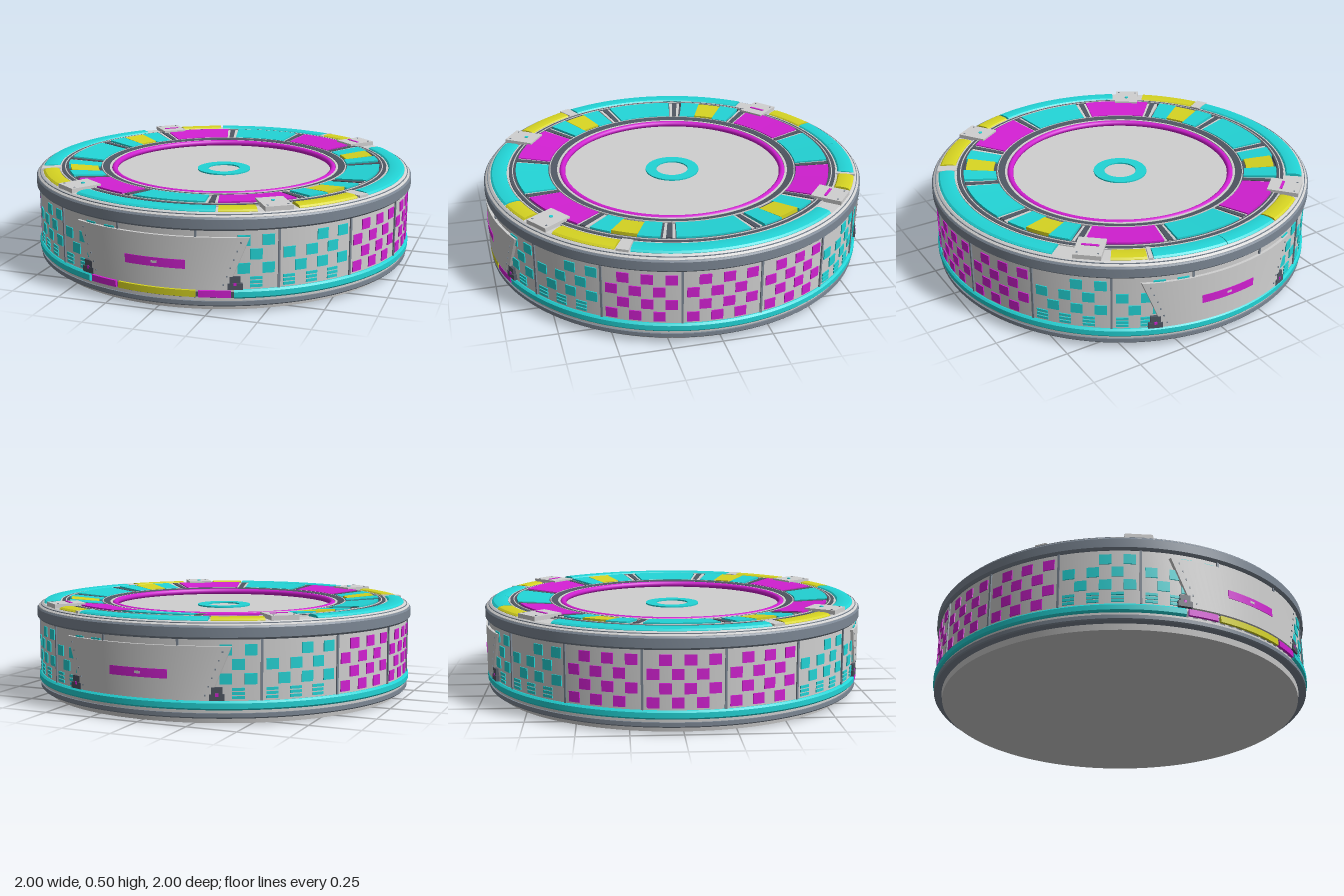
import * as THREE from 'three';
import { mergeGeometries, toCreasedNormals } from 'three/addons/utils/BufferGeometryUtils.js';

const RAD = Math.PI / 180;
const mat = (name, color) => {
  const m = new THREE.MeshStandardMaterial({ color });
  m.name = name;
  return m;
};

// Box-shaped cross-section: radius r0..r1, height y0..y1
const rect = (r0, r1, y0, y1) => [[r0, y0], [r1, y0], [r1, y1], [r0, y1]];

// Sweep a counter-clockwise (radius, height) profile round the axis from a0 to a1 degrees.
// Angle 0 is +x, 90 is +z (front).
function sector(profile, a0 = 0, a1 = 360) {
  const pts = [...profile, profile[0]].map(([r, y]) => new THREE.Vector2(r, y));
  const start = (90 - a1) * RAD, len = (a1 - a0) * RAD;
  const parts = [new THREE.LatheGeometry(pts, Math.ceil((a1 - a0) / 2.8125), start, len).toNonIndexed()];
  if (a1 - a0 < 360) {
    for (const end of [0, 1]) {
      const cap = new THREE.ShapeGeometry(new THREE.Shape(pts.slice(0, -1)));
      if (end) cap.index.array.reverse();
      cap.rotateY(start + end * len - Math.PI / 2);
      parts.push(cap.toNonIndexed());
    }
  }
  return toCreasedNormals(mergeGeometries(parts), 0.5);
}

// Place a geometry built facing +z at radius r, height y, angle a
const place = (g, r, y, a) => g.translate(0, y, r).rotateY((90 - a) * RAD);
const box = (w, h, d) => new THREE.BoxGeometry(w, h, d);

// Curved trapezoid that hugs the wall
function hatchPlate() {
  const g = new THREE.BoxGeometry(2, 1, 1, 28, 1, 1);
  const p = g.attributes.position;
  for (let i = 0; i < p.count; i++) {
    const t = p.getY(i) + 0.5;
    const x = p.getX(i) * (0.335 + 0.095 * t);
    const r = p.getZ(i) > 0 ? 0.997 : 0.975;
    p.setXYZ(i, x, 0.115 + 0.25 * t, Math.sqrt(r * r - x * x));
  }
  return toCreasedNormals(g.toNonIndexed(), 0.5);
}

export function createModel() {
  const model = new THREE.Group();
  model.name = 'roundPlatform';
  const grey = mat('light grey', 0xd0d0d0);
  const steel = mat('steel', 0x7c8794);
  const dark = mat('dark slate', 0x505763);
  const cyan = mat('cyan', 0x22d4d6);
  const magenta = mat('magenta', 0xd220d2);
  const yellow = mat('yellow', 0xd6d422);

  const add = (name, material, geoms) => {
    const list = [].concat(geoms).map(g => (g.index ? g.toNonIndexed() : g));
    const mesh = new THREE.Mesh(mergeGeometries(list), material);
    mesh.name = name;
    model.add(mesh);
  };

  // Base and lower rims
  add('base', grey, new THREE.CylinderGeometry(0.95, 0.945, 0.035, 128).translate(0, 0.0175, 0));
  add('lowerRim', steel, sector([[0.9, 0.03], [0.985, 0.03], [0.99, 0.036], [0.99, 0.055], [0.9, 0.055]]));
  add('lowerGroove', grey, sector(rect(0.9, 0.982, 0.055, 0.075)));
  add('lowerBand', cyan, sector([[0.95, 0.07], [0.99, 0.07], [0.997, 0.078], [0.997, 0.103], [0.988, 0.112], [0.95, 0.112]], 111.5, 428.5));

  // Coloured strip under the front hatch
  add('frontStripBacking', dark, sector(rect(0.94, 0.982, 0.07, 0.112), 68, 112));
  add('frontStripCentre', yellow, sector(rect(0.96, 0.995, 0.076, 0.108), 78.8, 101.2));
  add('frontStripEnds', magenta, [[69.3, 78], [102, 110.7]].map(([a, b]) => sector(rect(0.96, 0.995, 0.076, 0.108), a, b)));

  // Wall with dividers
  add('wall', grey, sector(rect(0.93, 0.983, 0.1, 0.405)));
  const dividers = [];
  for (let i = 0; i < 16; i++) {
    const a = 11.25 + i * 22.5;
    dividers.push(sector(rect(0.975, 0.99, 0.112, 0.4), a - 0.3, a + 0.3));
  }
  add('wallDividers', steel, dividers);

  // Chequered wall panels: magenta at the sides, cyan towards front and back
  const checks = { magenta: [], cyan: [] };
  for (let i = 0; i < 16; i++) {
    if (i === 4 || i === 12) continue;
    const isMagenta = [0, 1, 7, 8, 9, 15].includes(i);
    for (let row = 0; row < 4; row++) {
      for (let col = (row + 1) % 2; col < 6; col += 2) {
        if (!isMagenta && row === 0 && col === 1) continue;
        const a1 = i * 22.5 + 10 - col * 10 / 3, a0 = a1 - 10 / 3;
        const top = 0.373 - row * 0.0667;
        if (isMagenta || row < 3) {
          checks[isMagenta ? 'magenta' : 'cyan'].push(sector(rect(0.981, 0.988, top - 0.051, top), a0, a1));
        } else {
          for (let s = 0; s < 3; s++) {
            checks.cyan.push(sector(rect(0.981, 0.988, top - s * 0.019 - 0.013, top - s * 0.019), a0, a1));
          }
        }
      }
    }
  }
  add('sideChecks', magenta, checks.magenta);
  add('cornerChecks', cyan, checks.cyan);

  // Hatches at front and back, with rivets, handle bar and dark latches
  const plates = [], bars = [], badges = [], rivets = [], latches = [], latchDots = [];
  for (const face of [90, 270]) {
    plates.push(hatchPlate().rotateY((90 - face) * RAD));
    bars.push(sector(rect(0.99, 0.9995, 0.212, 0.255), face - 8.6, face + 8.6));
    badges.push(sector(rect(0.992, 1, 0.228, 0.24), face - 0.8, face + 0.8));
    for (const s of [-1, 1]) {
      for (let k = 0; k < 6; k++) {
        const y = 0.14 + k * 0.04;
        const x = 0.335 + 0.38 * (y - 0.115) - 0.025;
        rivets.push(place(box(0.007, 0.007, 0.004), 0.998, y, face + s * Math.asin(x) / RAD));
      }
      const a = face + s * 21.8;
      latches.push(place(box(0.07, 0.03, 0.04), 0.98, 0.13, a), place(box(0.05, 0.035, 0.034), 0.98, 0.16, a));
      latchDots.push(place(box(0.014, 0.014, 0.004), 0.999, 0.142, a));
    }
  }
  add('hatches', grey, plates);
  add('hatchBars', magenta, bars);
  add('hatchBadges', grey, badges);
  add('hatchRivets', steel, rivets);
  add('hatchLatches', dark, latches);
  add('latchDots', magenta, latchDots);

  // Upper band and shoulder
  add('upperBand', steel, sector([[0.93, 0.395], [0.99, 0.395], [1, 0.405], [1, 0.45], [0.994, 0.458], [0.93, 0.458]]));
  add('shoulder', grey, sector([[0.86, 0.44], [0.992, 0.44], [0.992, 0.46], [0.968, 0.476], [0.86, 0.476]]));
  add('shoulderLine', steel, sector(rect(0.978, 0.982, 0.46, 0.4705)));

  // Rounded pads around the rim
  const pad = [[0.88, 0.465], [0.964, 0.465], [0.964, 0.478], [0.955, 0.486], [0.935, 0.49], [0.9, 0.49], [0.886, 0.487], [0.88, 0.481]];
  const pads = list => list.map(([a, b]) => sector(pad, a, b));
  add('rimPadsCyan', cyan, pads([[-39.5, 25.5], [154.5, 219.5], [73.5, 118.5], [-89.9, -67.8], [-109.3, -90.1]]));
  add('rimPadsYellow', yellow, pads([[62, 72.7], [50, 30], [130, 150], [-66, -56], [-125, -110]].map(p => p.sort((a, b) => a - b))));
  add('rimSpacers', grey, [27.7, 152.3, -67].map(a => sector(rect(0.87, 0.97, 0.465, 0.487), a - (a < 0 ? 0.6 : 1.8), a + (a < 0 ? 0.6 : 1.8))));

  // Four brackets across the rim
  const brackets = [], studs = [], marks = [], screws = [];
  for (const a of [56, 124, -49.5, -130.5]) {
    brackets.push(place(box(0.135, 0.035, 0.16), 0.888, 0.48, a));
    if (a > 0) studs.push(place(new THREE.CylinderGeometry(0.01, 0.01, 0.005, 12), 0.87, 0.499, a));
    else marks.push(place(box(0.085, 0.004, 0.014), 0.875, 0.4985, a));
    for (const s of [-1, 1]) screws.push(place(box(0.008, 0.003, 0.008).translate(s * 0.05, 0, 0), 0.945, 0.4985, a));
  }
  add('brackets', grey, brackets);
  add('bracketStuds', cyan, studs);
  add('bracketMarks', magenta, marks);
  add('bracketScrews', steel, screws);

  // Deck under the inner panels, with trim rings
  add('deck', dark, sector(rect(0.605, 0.875, 0.42, 0.466)));
  add('deckOuterRing', dark, sector(rect(0.836, 0.868, 0.46, 0.483)));
  add('deckOuterTrim', grey, [sector(rect(0.846, 0.851, 0.47, 0.486)), sector(rect(0.87, 0.877, 0.46, 0.482))]);
  add('deckInnerRing', dark, sector([[0.618, 0.45], [0.652, 0.45], [0.652, 0.473], [0.618, 0.468]]));
  add('deckInnerTrim', grey, [sector(rect(0.603, 0.615, 0.45, 0.468)), sector(rect(0.651, 0.656, 0.45, 0.474))]);

  // Twelve inner panels and the bars between them
  const slope = (lift, r0 = 0.662, r1 = 0.832) => [[r0, 0.455], [r1, 0.455], [r1, 0.49 + lift], [r0, 0.475 + lift]];
  const inner = { cyan: [], magenta: [], yellow: [] }, frames = [], ribs = [];
  for (let i = 0; i < 12; i++) {
    const c = i * 30;
    if ([2, 4, 8, 10].includes(i)) inner.magenta.push(sector(slope(0), c - 13, c + 13));
    else if (i % 3 === 0) inner.cyan.push(sector(slope(0), c - 12.6, c + 12.6));
    else {
      inner.cyan.push(sector(slope(0), c - 12, c - 4.6), sector(slope(0), c + 4.6, c + 12));
      inner.yellow.push(sector(slope(0.001, 0.675, 0.82), c - 4.6, c + 4.6));
    }
    frames.push(sector(slope(-0.006), c + 12.9, c + 17.1));
    ribs.push(sector(slope(-0.002), c + 14, c + 16));
  }
  add('innerPanelsCyan', cyan, inner.cyan);
  add('innerPanelsMagenta', magenta, inner.magenta);
  add('innerPanelsYellow', yellow, inner.yellow);
  add('panelFrames', grey, frames);
  add('panelRibs', dark, ribs);

  // Sunken centre disc with its ring and hub
  add('centreDisc', grey, new THREE.CylinderGeometry(0.606, 0.606, 0.04, 128).translate(0, 0.42, 0));
  add('centreRing', magenta, new THREE.TorusGeometry(0.588, 0.016, 10, 128).rotateX(Math.PI / 2).translate(0, 0.456, 0));
  add('hubRing', cyan, sector(rect(0.085, 0.142, 0.43, 0.447)));

  return model;
}
